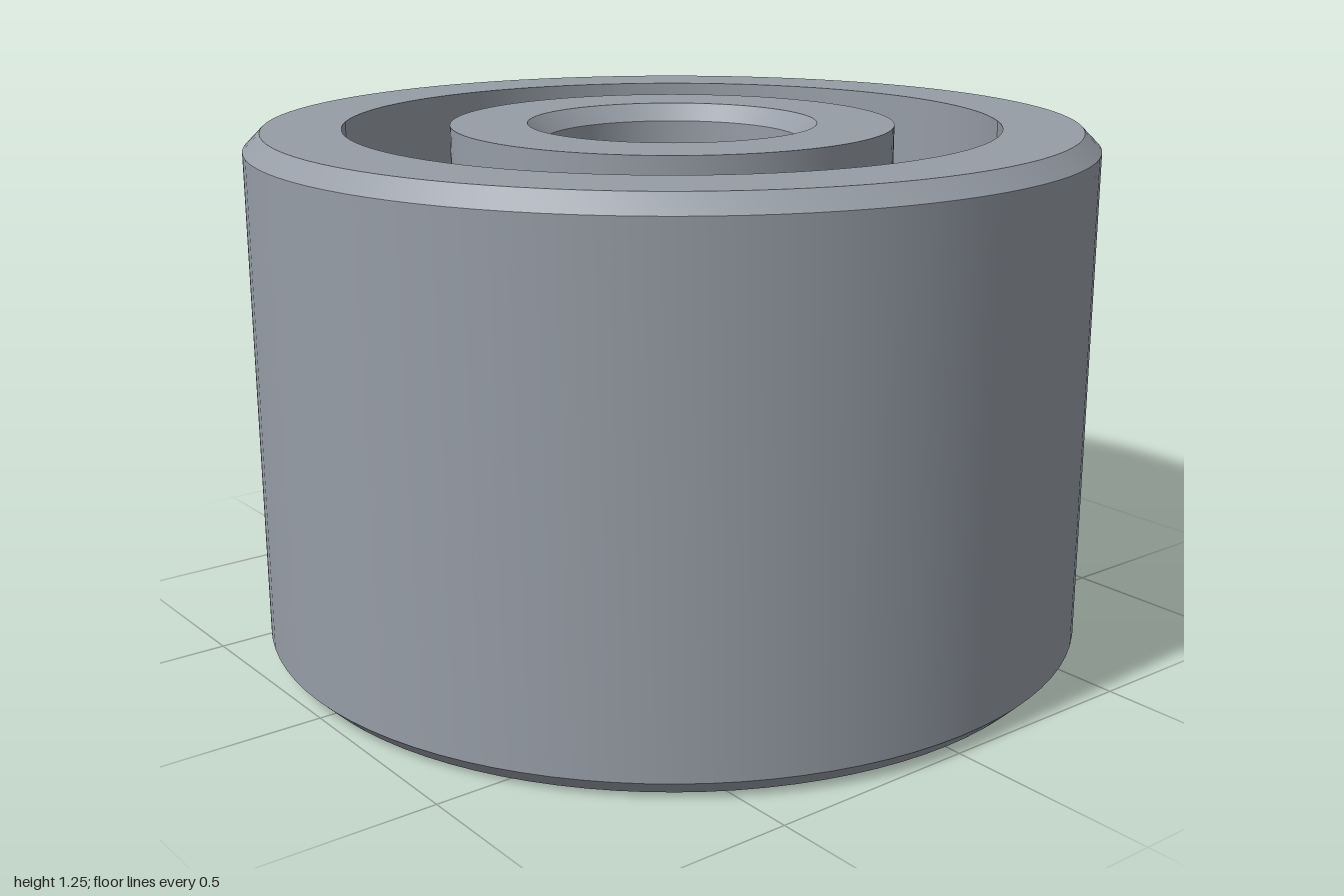
import * as THREE from 'three';
import { toCreasedNormals } from 'three/addons/utils/BufferGeometryUtils.js';

const HEIGHT = 1.25, MID = HEIGHT / 2, CHAMFER = 0.04;
const PITCH = 0.65, BALL = 0.193, GROOVE = 0.195, BALLS = 7;

// Points of a raceway arc cut into a wall at radius wall
function groove(wall, side, up) {
  const half = Math.acos(Math.abs(wall - PITCH) / GROOVE);
  const steps = 16, points = [];
  for (let i = 0; i <= steps; i++) {
    const a = (up ? 1 : -1) * half * (2 * i / steps - 1);
    points.push([PITCH + side * GROOVE * Math.cos(a), MID + GROOVE * Math.sin(a)]);
  }
  return points;
}

// Closed ring turned from a counter-clockwise (radius, y) profile
function ring(name, profile, material) {
  const points = [...profile, profile[0]].map(([r, y]) => new THREE.Vector2(r, y));
  const geometry = toCreasedNormals(new THREE.LatheGeometry(points, 96), 0.5);
  const mesh = new THREE.Mesh(geometry, material);
  mesh.name = name;
  return mesh;
}

export function createModel() {
  const model = new THREE.Group();
  model.name = 'ballBearing';
  const steel = new THREE.MeshStandardMaterial({ color: 0x969da6 });
  steel.name = 'steel';

  // Outer race: chamfered outside, raceway inside
  const outerWall = 0.775;
  model.add(ring('outerRace', [
    [outerWall, 0], [1 - CHAMFER, 0], [1, CHAMFER],
    [1, HEIGHT - CHAMFER], [1 - CHAMFER, HEIGHT], [outerWall, HEIGHT],
    ...groove(outerWall, 1, false),
  ], steel));

  // Inner race: raceway outside, chamfered bore
  const innerWall = 0.525, bore = 0.303;
  model.add(ring('innerRace', [
    [bore + CHAMFER, 0], [innerWall, 0],
    ...groove(innerWall, -1, true),
    [innerWall, HEIGHT], [bore + CHAMFER, HEIGHT],
    [bore, HEIGHT - CHAMFER], [bore, CHAMFER],
  ], steel));

  // Balls spaced evenly around the raceway
  const balls = new THREE.Group();
  balls.name = 'balls';
  const ballGeometry = new THREE.SphereGeometry(BALL, 40, 24);
  for (let i = 0; i < BALLS; i++) {
    const a = -Math.PI / 2 - 0.017 + i * 2 * Math.PI / BALLS;
    const ball = new THREE.Mesh(ballGeometry, steel);
    ball.name = 'ball';
    ball.position.set(PITCH * Math.cos(a), MID, PITCH * Math.sin(a));
    balls.add(ball);
  }
  model.add(balls);
  return model;
}
